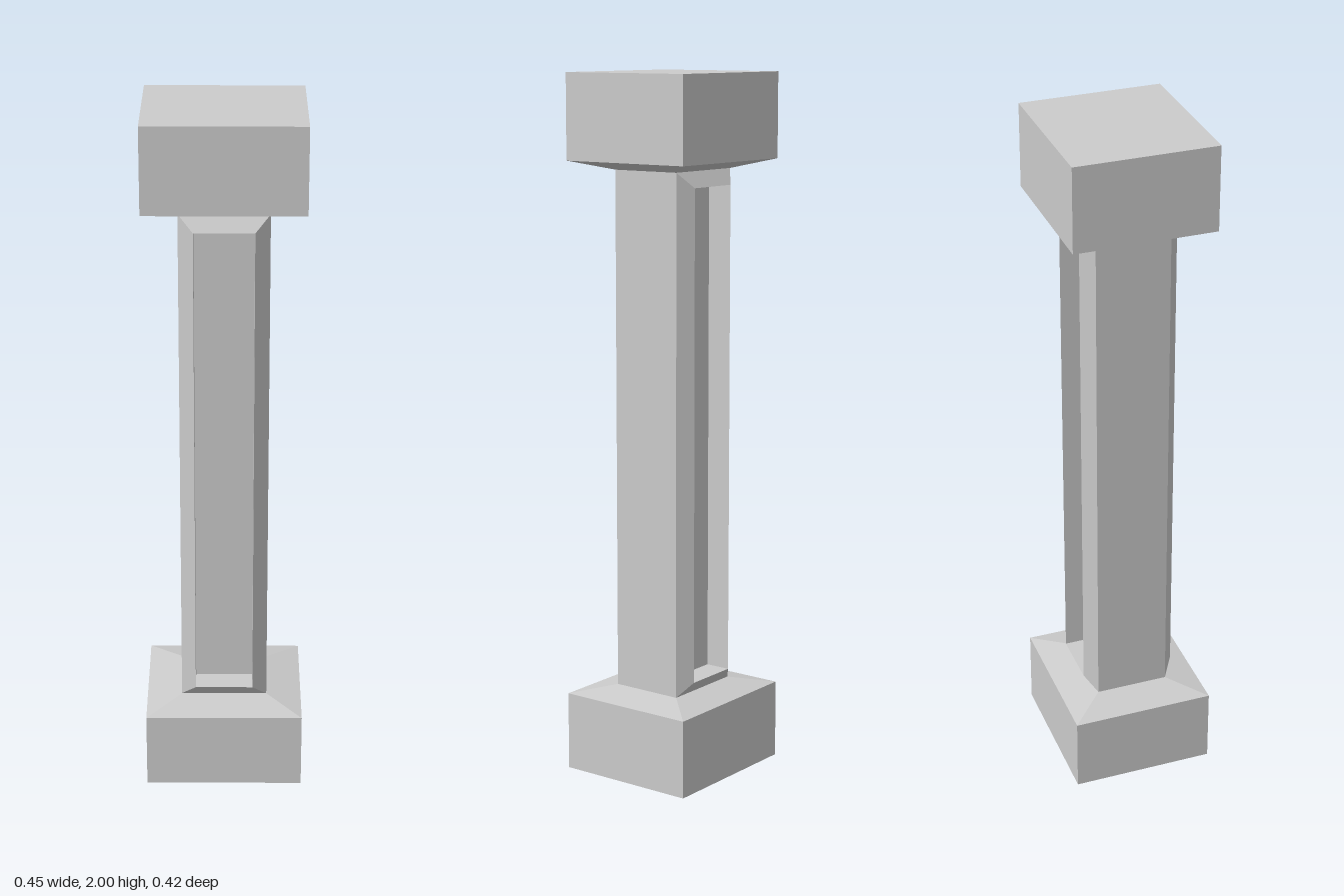
import * as THREE from 'three';

const material = new THREE.MeshStandardMaterial({ color: 0xcccccc, flatShading: true });

// Closed loft through rectangles [z, halfX, minY, maxY], stacked along z
function loftRects(sections) {
  const rings = sections.map(([z, hx, y0, y1]) => [
    [-hx, y0, z], [hx, y0, z], [hx, y1, z], [-hx, y1, z],
  ]);
  const positions = [];
  const quad = (a, b, c, d) => positions.push(...a, ...b, ...c, ...a, ...c, ...d);
  for (let s = 0; s < rings.length - 1; s++) {
    const p = rings[s], q = rings[s + 1];
    for (let i = 0; i < 4; i++) {
      const j = (i + 1) % 4;
      quad(p[i], p[j], q[j], q[i]);
    }
  }
  const first = rings[0], last = rings[rings.length - 1];
  quad(first[3], first[2], first[1], first[0]);
  quad(...last);
  const geometry = new THREE.BufferGeometry();
  geometry.setAttribute('position', new THREE.Float32BufferAttribute(positions, 3));
  geometry.computeVertexNormals();
  return geometry;
}

// Loft through horizontal rectangles [y, halfX, halfZ]
function loftUp(sections) {
  return loftRects(sections.map(([y, hx, hz]) => [y, hx, -hz, hz])).rotateX(-Math.PI / 2);
}

export function createModel() {
  const group = new THREE.Group();
  const add = (name, geometry) => {
    const mesh = new THREE.Mesh(geometry, material);
    mesh.name = name;
    group.add(mesh);
  };

  const shaftX = 0.1245, shaftZ = 0.106, bottom = 0.247, top = 1.733;

  // Base block with a shallow sloped top
  add('base', loftUp([[0, 0.227, 0.208], [0.225, 0.227, 0.208], [bottom, shaftX, shaftZ]]));

  // Capital block with a shallow sloped underside
  add('capital', loftUp([[top, shaftX, shaftZ], [1.759, 0.221, 0.201], [2, 0.221, 0.201]]));

  // Shaft: bevelled front and back, each with a deep rectangular recess
  const outer = [shaftX, bottom, top];
  const inner = [0.083, 0.287, 1.69];
  const faceZ = 0.138, recessZ = 0.064;
  add('shaft', loftRects([
    [-recessZ, ...inner], [-faceZ, ...inner], [-shaftZ, ...outer],
    [shaftZ, ...outer], [faceZ, ...inner], [recessZ, ...inner],
  ]));

  return group;
}
